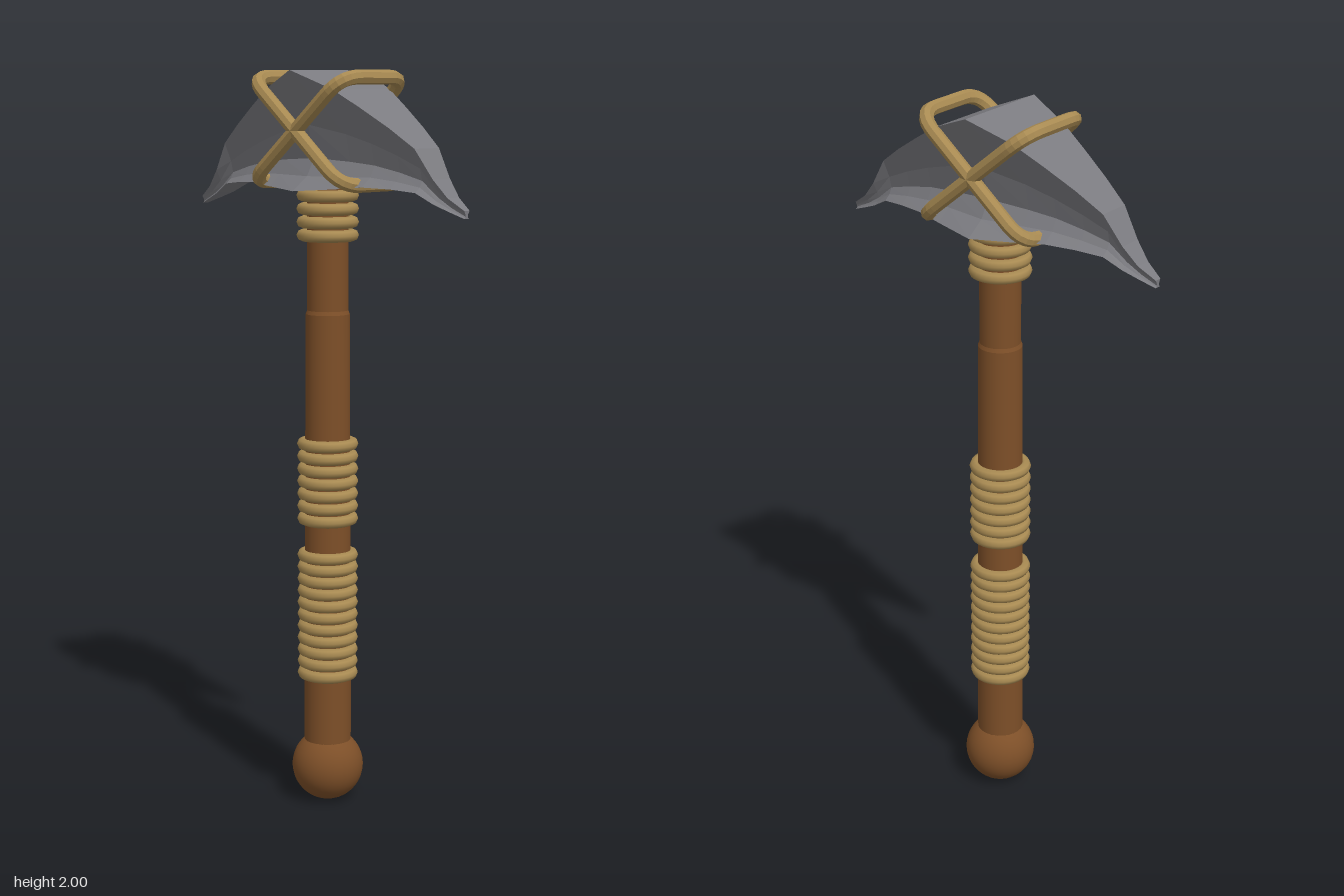
import * as THREE from 'three';

const material = (name, color) => {
  const m = new THREE.MeshStandardMaterial({ color });
  m.name = name;
  return m;
};

// Faceted copy of a geometry
function faceted(geometry) {
  const g = geometry.index ? geometry.toNonIndexed() : geometry;
  g.computeVertexNormals();
  return g;
}

// Stone blade: waisted cross-sections lofted along x
function stoneGeometry() {
  // [x, top y, bottom y]
  const half = [
    [0, 2.0, 1.69], [0.12, 1.952, 1.698], [0.2, 1.905, 1.705], [0.28, 1.855, 1.702],
    [0.35, 1.805, 1.695], [0.4, 1.73, 1.668], [0.44, 1.685, 1.652], [0.485, 1.655, 1.635],
  ];
  const stations = [...half.slice(1).reverse().map(([x, t, b]) => [-x, t, b]), ...half];
  // [height fraction, width fraction] down one side
  const side = [[1, 1], [0.55, 0.52], [0.27, 0.36], [0.12, 0.55], [0, 0.93]];
  const profile = [...side, ...side.slice().reverse().map(([h, w]) => [h, -w])];
  const n = profile.length;
  const positions = [];
  for (const [x, top, bottom] of stations) {
    const width = 0.14 - 0.13 * Math.abs(x) / 0.485;
    for (const [h, w] of profile) positions.push(x, bottom + (top - bottom) * h, w * width);
  }
  const index = [];
  const quad = (a, b, c, d) => index.push(a, b, c, a, c, d);
  for (let i = 0; i < stations.length - 1; i++) {
    for (let j = 0; j < n; j++) {
      const k = (j + 1) % n;
      quad(i * n + j, i * n + k, (i + 1) * n + k, (i + 1) * n + j);
    }
  }
  // Blunt tips
  const end = (stations.length - 1) * n;
  for (let j = 0; j < side.length - 1; j++) {
    quad(end + j, end + j + 1, end + n - 2 - j, end + n - 1 - j);
    quad(n - 1 - j, n - 2 - j, j + 1, j);
  }
  const g = new THREE.BufferGeometry();
  g.setAttribute('position', new THREE.Float32BufferAttribute(positions, 3));
  g.setIndex(index);
  return faceted(g);
}

// Rounded rectangular loop of cord lying in the xz plane
function loopGeometry(a, b, r, thickness) {
  const v = (x, z) => new THREE.Vector3(x, 0, z);
  const path = new THREE.CurvePath();
  const line = (p, q) => path.add(new THREE.LineCurve3(p, q));
  const bend = (p, c, q) => path.add(new THREE.QuadraticBezierCurve3(p, c, q));
  line(v(-a + r, b), v(a - r, b));
  bend(v(a - r, b), v(a, b), v(a, b - r));
  line(v(a, b - r), v(a, -b + r));
  bend(v(a, -b + r), v(a, -b), v(a - r, -b));
  line(v(a - r, -b), v(-a + r, -b));
  bend(v(-a + r, -b), v(-a, -b), v(-a, -b + r));
  line(v(-a, -b + r), v(-a, b - r));
  bend(v(-a, b - r), v(-a, b), v(-a + r, b));
  return faceted(new THREE.TubeGeometry(path, 80, thickness, 8, true));
}

export function createModel() {
  const model = new THREE.Group();
  model.name = 'stonePickaxe';
  const wood = material('wood', 0x7d4f28);
  const cord = material('cord', 0xa88a52);
  const stone = material('stone', 0x7b7b80);

  const add = (name, geometry, mat, y = 0, parent = model) => {
    const mesh = new THREE.Mesh(geometry, mat);
    mesh.name = name;
    mesh.position.y = y;
    parent.add(mesh);
    return mesh;
  };

  // Handle, slimmer towards the head, with a round pommel
  add('pommel', new THREE.SphereGeometry(0.098, 32, 20), wood, 0.103);
  const shaft = [[0, 0.15], [0.064, 0.15], [0.064, 0.36], [0.062, 0.8], [0.059, 1.36], [0.055, 1.37], [0.055, 1.73], [0, 1.73]];
  for (let i = 1; i < shaft.length - 2; i++) {
    const [r0, y0] = shaft[i], [r1, y1] = shaft[i + 1];
    add('handleSection' + i, new THREE.CylinderGeometry(r1, r0, y1 - y0, 24), wood, (y0 + y1) / 2);
  }

  // Cord wrappings: [name, lowest ring, highest ring, count]
  const ring = new THREE.TorusGeometry(0.067, 0.016, 8, 32).rotateX(Math.PI / 2);
  const wraps = [['lowerGrip', 0.368, 0.7, 11], ['upperGrip', 0.802, 1.008, 7], ['collar', 1.57, 1.675, 4]];
  for (const [name, low, high, count] of wraps) {
    const wrap = new THREE.Group();
    wrap.name = name;
    model.add(wrap);
    for (let i = 0; i < count; i++) {
      add('cordRing', ring, cord, low + (high - low) * i / (count - 1), wrap);
    }
  }

  // Head and its crossed lashings
  add('stoneHead', stoneGeometry(), stone);
  const loop = loopGeometry(0.215, 0.12, 0.065, 0.019);
  for (const s of [-1, 1]) {
    add(s < 0 ? 'fallingLashing' : 'risingLashing', loop, cord, 1.845).rotation.z = s * 0.69;
  }
  return model;
}
